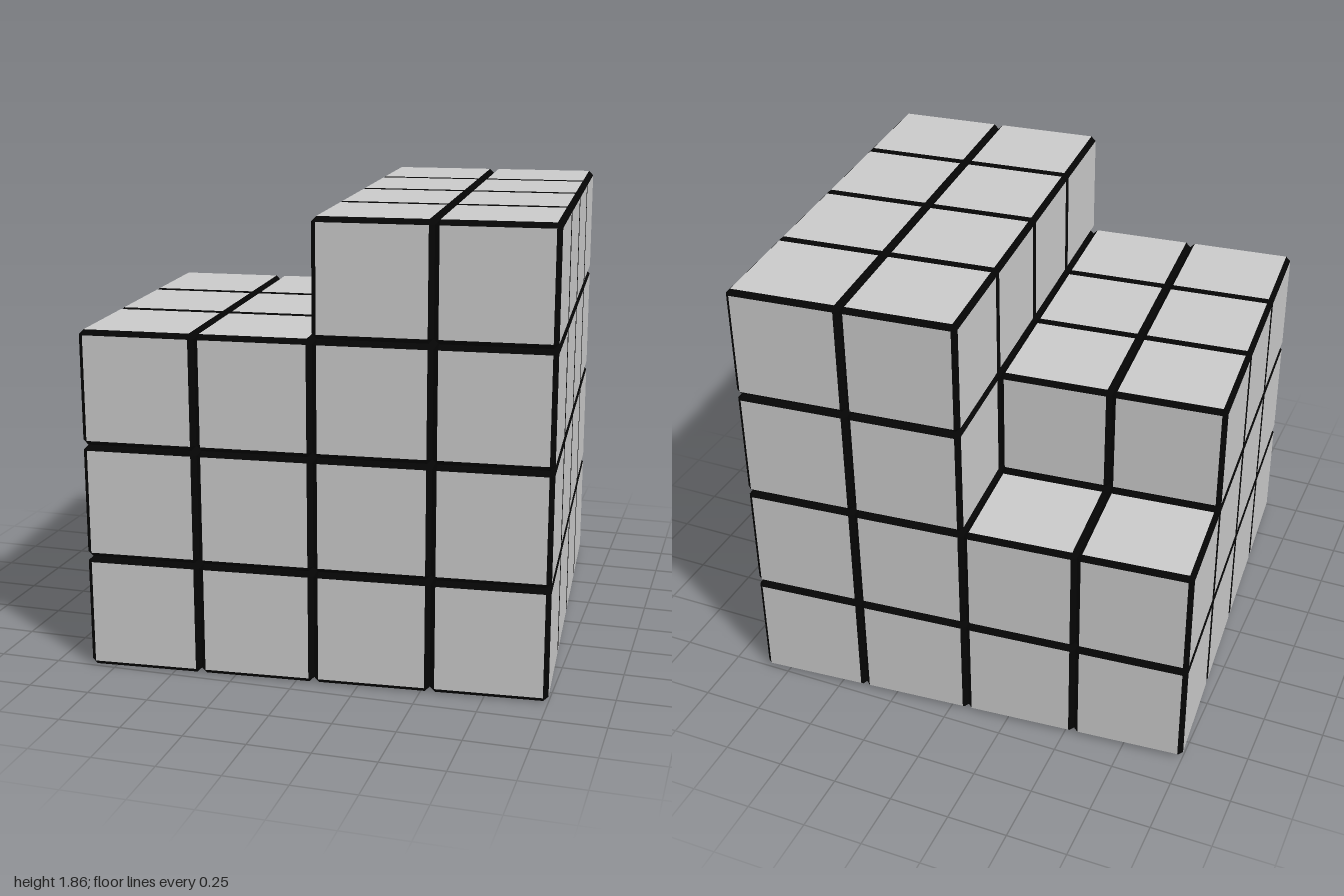
import * as THREE from 'three';

const PITCH = 0.4645; // cube edge length
const HALF = PITCH / 2;
const BEVEL = 0.02;
const COUNT = 4;

// Corner point of a bevelled cube lying on the face across the given axis
function point(signs, axis) {
  return new THREE.Vector3(...signs.map((s, i) => s * (i === axis ? HALF : HALF - BEVEL)));
}

// Geometry from convex polygons around the origin, each wound to face outward
function polygons(list) {
  const pos = [];
  for (const poly of list) {
    const normal = new THREE.Triangle(poly[0], poly[1], poly[2]).getNormal(new THREE.Vector3());
    if (normal.dot(poly[0]) < 0) poly.reverse();
    for (let i = 1; i < poly.length - 1; i++) {
      for (const p of [poly[0], poly[i], poly[i + 1]]) pos.push(p.x, p.y, p.z);
    }
  }
  const geo = new THREE.BufferGeometry();
  geo.setAttribute('position', new THREE.Float32BufferAttribute(pos, 3));
  geo.computeVertexNormals();
  return geo;
}

// The six flat faces, and the edge strips with corner triangles
function cubeParts() {
  const faces = [], bevels = [];
  const place = (a, sa, b, sb, c, sc) => {
    const s = [0, 0, 0];
    s[a] = sa; s[b] = sb; s[c] = sc;
    return s;
  };
  for (let a = 0; a < 3; a++) {
    const b = (a + 1) % 3, c = (a + 2) % 3;
    for (const sa of [-1, 1]) {
      faces.push([[-1, -1], [1, -1], [1, 1], [-1, 1]]
        .map(([u, v]) => point(place(a, sa, b, u, c, v), a)));
      for (const sb of [-1, 1]) {
        const lo = place(a, sa, b, sb, c, -1), hi = place(a, sa, b, sb, c, 1);
        bevels.push([point(lo, a), point(hi, a), point(hi, b), point(lo, b)]);
      }
    }
  }
  for (const x of [-1, 1]) for (const y of [-1, 1]) for (const z of [-1, 1]) {
    bevels.push([0, 1, 2].map((axis) => point([x, y, z], axis)));
  }
  return [polygons(faces), polygons(bevels)];
}

// Stepped stack: the top layer covers the +x half, the third lacks two back cubes
function isFilled(x, y, z) {
  if (x >= 2 || y < 2) return true;
  return y === 2 && z > 0;
}

export function createModel() {
  const model = new THREE.Group();
  model.name = 'steppedCubeStack';
  const [faceGeo, bevelGeo] = cubeParts();
  const grey = new THREE.MeshStandardMaterial({ color: 0xcccccc });
  const black = new THREE.MeshStandardMaterial({ color: 0x050505 });

  for (let y = 0; y < COUNT; y++) {
    const layer = new THREE.Group();
    layer.name = `layer${y + 1}`;
    for (let x = 0; x < COUNT; x++) for (let z = 0; z < COUNT; z++) {
      if (!isFilled(x, y, z)) continue;
      const cube = new THREE.Group();
      cube.name = 'cube';
      const faces = new THREE.Mesh(faceGeo, grey);
      faces.name = 'cubeFaces';
      const bevels = new THREE.Mesh(bevelGeo, black);
      bevels.name = 'cubeBevels';
      cube.add(faces, bevels);
      cube.position.set((x - 1.5) * PITCH, (y + 0.5) * PITCH, (z - 1.5) * PITCH);
      layer.add(cube);
    }
    model.add(layer);
  }

  // The whole stack is turned slightly
  model.rotation.y = 0.08;
  return model;
}
